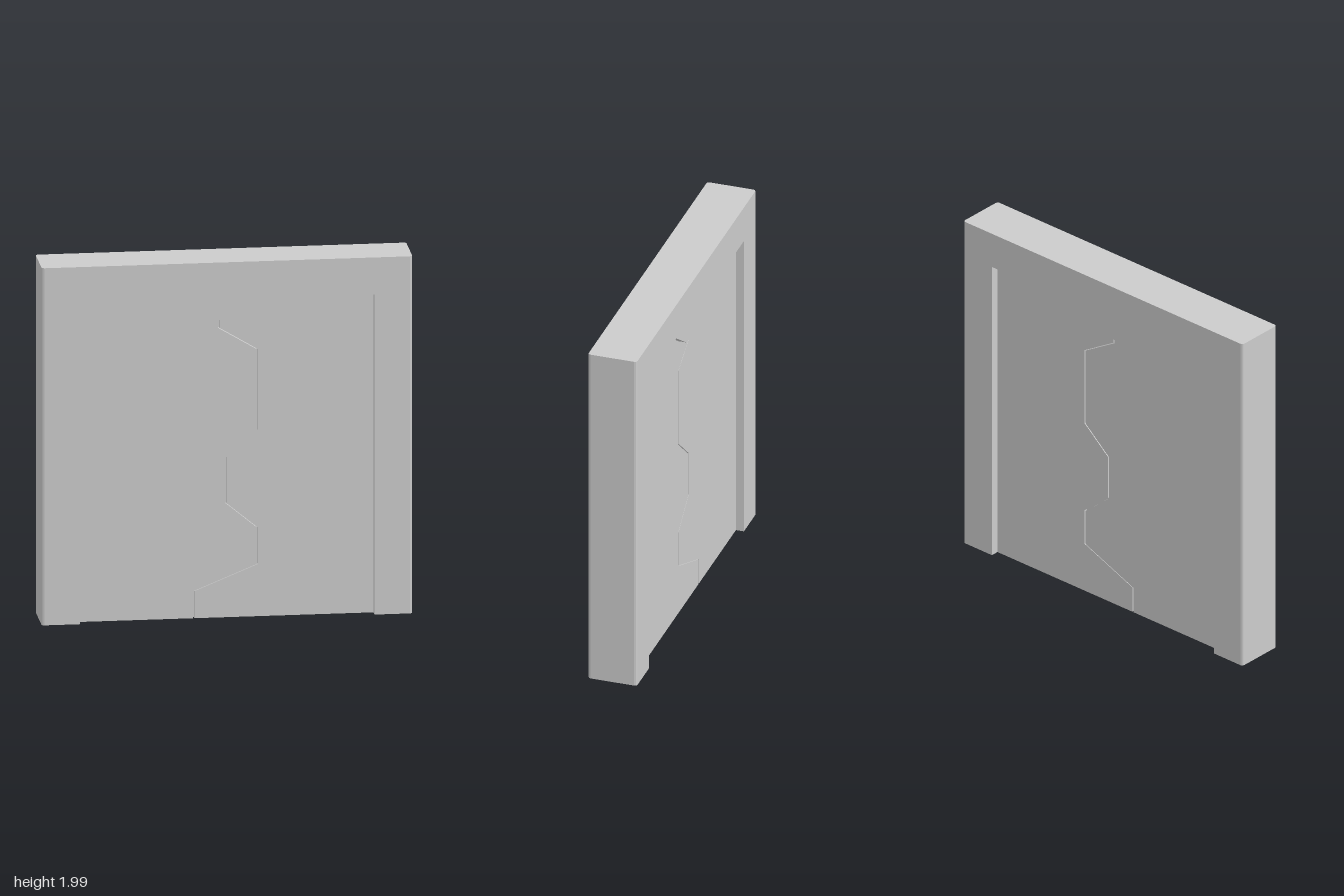
import * as THREE from 'three';

const HALF_DEPTH = 0.138;
const HEIGHT = 1.985;
const material = new THREE.MeshStandardMaterial({ color: 0xcccccc, flatShading: true });

// Underside of the lintel, from -x to +x
const lintel = [[-0.795, 1.78], [-0.335, 1.78], [-0.165, 1.665], [0.165, 1.665], [0.335, 1.78], [0.795, 1.78]];

// Zigzag seam between the two door leaves, top to bottom
const seam = [
  [-0.04, 1.665], [-0.04, 1.61], [0.168, 1.485], [0.168, 1.035], [0, 0.89],
  [0, 0.635], [0.168, 0.495], [0.168, 0.29], [-0.175, 0.15], [-0.175, 0],
];

const toShape = (pts) => new THREE.Shape(pts.map(([x, y]) => new THREE.Vector2(x, y)));

function slab(name, pts, halfDepth) {
  const geometry = new THREE.ExtrudeGeometry(toShape(pts), { depth: 2 * halfDepth, bevelEnabled: false });
  geometry.translate(0, 0, -halfDepth);
  const mesh = new THREE.Mesh(geometry, material);
  mesh.name = name;
  return mesh;
}

// Frame: an arch extruded in layers, its outer upright edges eased by a small radius
function frame() {
  const pts = [[-1, 0], [-0.795, 0], ...lintel, [0.795, 0], [1, 0], [1, HEIGHT], [-1, HEIGHT]];
  const r = 0.014;
  const k = r * (1 - Math.SQRT1_2);
  const front = [[HALF_DEPTH - r, 0], [HALF_DEPTH - k, k], [HALF_DEPTH, r]];
  const layers = [...front.map(([z, inset]) => [-z, inset]).reverse(), ...front];
  const steps = layers.length - 1;
  const geometry = new THREE.ExtrudeGeometry(toShape(pts), { depth: steps, steps, bevelEnabled: false });
  const p = geometry.attributes.position;
  for (let i = 0; i < p.count; i++) {
    const [z, inset] = layers[Math.round(p.getZ(i))];
    const x = p.getX(i);
    if (Math.abs(x) > 0.99) p.setX(i, Math.sign(x) * (1 - inset));
    p.setZ(i, z);
  }
  geometry.computeVertexNormals();
  const mesh = new THREE.Mesh(geometry, material);
  mesh.name = 'frame';
  return mesh;
}

export function createModel() {
  const group = new THREE.Group();
  group.name = 'slidingDoor';
  group.add(frame());

  // Two interlocking leaves with a narrow gap along the seam
  const gap = 0.004;
  const shifted = (dx) => seam.map(([x, y]) => [x + dx, y]);
  const leafDepth = 0.093;
  group.add(slab('rightLeaf', [[-0.795, 0], ...lintel.slice(0, 3), ...shifted(-gap)], leafDepth));
  group.add(slab('leftLeaf', [[0.795, 0], ...lintel.slice(3).reverse(), ...shifted(gap)], leafDepth));

  // Thin core that closes the bottom of the seam groove
  const strip = [...shifted(-gap), ...shifted(gap).reverse()];
  group.add(slab('seamCore', strip, leafDepth - 0.02));
  return group;
}
